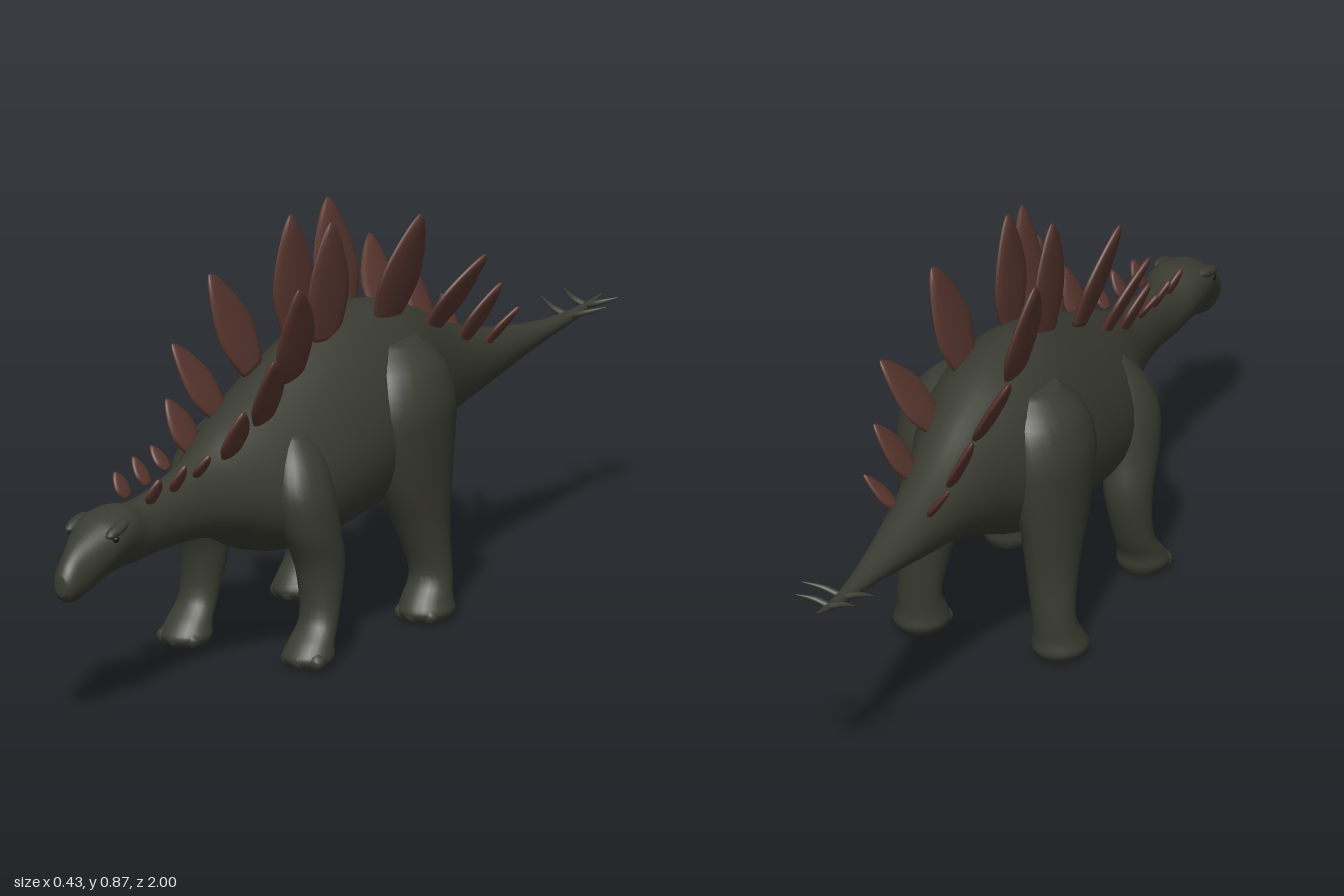
import * as THREE from 'three';

const hide = new THREE.MeshStandardMaterial({ name: 'dark olive hide', color: 0x3a3b31 });
const plateMat = new THREE.MeshStandardMaterial({ name: 'red brown plate', color: 0x56352d });
const eyeMat = new THREE.MeshStandardMaterial({ name: 'dark eye', color: 0x15150f });

// Smoothly subdivide a table of cross-sections (Catmull-Rom on every column)
function smoothRows(rows, sub) {
  const out = [];
  const at = (i) => rows[Math.max(0, Math.min(rows.length - 1, i))];
  for (let i = 0; i < rows.length - 1; i++) {
    for (let s = 0; s < sub; s++) {
      const t = s / sub;
      out.push(rows[i].map((b, c) => {
        const a = at(i - 1)[c], d = at(i + 1)[c], e = at(i + 2)[c];
        return b + 0.5 * t * (d - a + t * (2 * a - 5 * b + 4 * d - e + t * (3 * (b - d) + e - a)));
      }));
    }
  }
  out.push(rows[rows.length - 1]);
  return out;
}

// Skin closed rings made by point(row, angle), with a centre vertex closing each end
function loft(rows, sides, sub, point) {
  const rings = smoothRows(rows, sub);
  const pos = [], index = [];
  for (const row of rings) {
    for (let j = 0; j < sides; j++) pos.push(...point(row, (j / sides) * Math.PI * 2));
  }
  for (let i = 0; i < rings.length - 1; i++) {
    for (let j = 0; j < sides; j++) {
      const a = i * sides + j, b = i * sides + (j + 1) % sides;
      index.push(a, b, a + sides, b, b + sides, a + sides);
    }
  }
  for (const end of [0, rings.length - 1]) {
    const p = point(rings[end], 0), q = point(rings[end], Math.PI);
    const c = pos.length / 3;
    pos.push(...p.map((v, k) => (v + q[k]) / 2));
    for (let j = 0; j < sides; j++) {
      const a = end * sides + j, b = end * sides + (j + 1) % sides;
      if (end === 0) index.push(c, b, a);
      else index.push(c, a, b);
    }
  }
  const geo = new THREE.BufferGeometry();
  geo.setAttribute('position', new THREE.Float32BufferAttribute(pos, 3));
  geo.setIndex(index);
  geo.computeVertexNormals();
  return geo;
}

// Ring across z: row = [z, top, bottom, halfWidth, bottomHeaviness]
const bodyRing = ([z, top, bot, w, k], t) => [
  w * Math.sin(t) * (1 - k * Math.cos(t)),
  (top + bot) / 2 + ((top - bot) / 2) * Math.cos(t),
  z,
];
// Ring across y: row = [y, centreX, centreZ, radiusX, radiusZ]
const limbRing = ([y, cx, cz, rx, rz], t) => [cx + rx * Math.sin(t), y, cz + rz * Math.cos(t)];

function add(parent, name, geo, mat) {
  const mesh = new THREE.Mesh(geo, mat);
  mesh.name = name;
  parent.add(mesh);
  return mesh;
}

// Head, neck, torso and tail, snout to tail tip
const BODY = [
  [1.0, 0.325, 0.285, 0.014, 0], [0.985, 0.35, 0.27, 0.026, 0], [0.95, 0.38, 0.265, 0.035, -0.1],
  [0.9, 0.41, 0.28, 0.049, -0.25], [0.86, 0.427, 0.293, 0.06, -0.3], [0.8, 0.435, 0.3, 0.06, -0.2],
  [0.74, 0.425, 0.3, 0.05, 0], [0.66, 0.432, 0.302, 0.047, 0], [0.58, 0.448, 0.3, 0.054, 0.05],
  [0.5, 0.47, 0.293, 0.07, 0.1], [0.42, 0.507, 0.27, 0.1, 0.15], [0.34, 0.54, 0.232, 0.135, 0.18],
  [0.24, 0.58, 0.21, 0.16, 0.2], [0.13, 0.625, 0.212, 0.167, 0.2], [0.02, 0.657, 0.222, 0.167, 0.18],
  [-0.09, 0.66, 0.235, 0.16, 0.12], [-0.19, 0.643, 0.275, 0.14, 0.08], [-0.29, 0.602, 0.315, 0.106, 0.05],
  [-0.4, 0.547, 0.348, 0.078, 0.02], [-0.5, 0.51, 0.366, 0.061, 0], [-0.6, 0.484, 0.385, 0.048, 0],
  [-0.7, 0.466, 0.403, 0.034, 0], [-0.8, 0.455, 0.417, 0.021, 0], [-0.9, 0.453, 0.43, 0.012, 0],
  [-0.96, 0.458, 0.445, 0.007, 0], [-1.0, 0.462, 0.459, 0.002, 0],
];

const HIND = [
  [0.004, 0.155, -0.12, 0.046, 0.052], [0.022, 0.155, -0.12, 0.058, 0.064], [0.05, 0.153, -0.126, 0.052, 0.056],
  [0.1, 0.15, -0.142, 0.046, 0.044], [0.2, 0.14, -0.125, 0.053, 0.068], [0.3, 0.135, -0.105, 0.063, 0.105],
  [0.4, 0.125, -0.095, 0.08, 0.132], [0.47, 0.118, -0.095, 0.087, 0.135], [0.54, 0.1, -0.1, 0.083, 0.112],
  [0.59, 0.08, -0.1, 0.055, 0.06],
];

const FORE = [
  [0.004, 0.15, 0.31, 0.044, 0.044], [0.022, 0.15, 0.31, 0.055, 0.053], [0.05, 0.15, 0.298, 0.049, 0.045],
  [0.1, 0.148, 0.266, 0.043, 0.037], [0.2, 0.142, 0.255, 0.05, 0.056], [0.28, 0.138, 0.28, 0.055, 0.071],
  [0.36, 0.13, 0.295, 0.056, 0.076], [0.43, 0.113, 0.29, 0.047, 0.06], [0.48, 0.098, 0.28, 0.02, 0.03],
];

// Plate pairs: base x, y, z, tip x, y, z, width
const PLATES = [
  [0.03, 0.425, 0.71, 0.055, 0.476, 0.72, 0.05], [0.033, 0.432, 0.63, 0.065, 0.488, 0.637, 0.045],
  [0.037, 0.445, 0.55, 0.072, 0.492, 0.56, 0.045], [0.045, 0.46, 0.44, 0.095, 0.566, 0.468, 0.088],
  [0.055, 0.51, 0.33, 0.125, 0.662, 0.4, 0.1], [0.05, 0.58, 0.215, 0.11, 0.786, 0.285, 0.128],
  [0.038, 0.625, 0.075, 0.05, 0.872, 0.075, 0.15], [0.055, 0.62, -0.12, 0.115, 0.845, -0.16, 0.155],
  [0.052, 0.56, -0.285, 0.143, 0.717, -0.358, 0.115], [0.045, 0.505, -0.415, 0.11, 0.627, -0.465, 0.08],
  [0.038, 0.475, -0.515, 0.095, 0.553, -0.55, 0.045],
];

// Leaf outline of a plate: height, width and thickness fractions
const LEAF = [[0, 0.6, 0.9], [0.15, 0.82, 1], [0.35, 1, 1], [0.55, 0.9, 0.9], [0.75, 0.63, 0.8], [0.92, 0.3, 0.65], [1, 0.06, 0.2]];

function plate(base, tip, width) {
  const dir = tip.clone().sub(base);
  const len = dir.length();
  const thick = 0.006 + 0.045 * width;
  const rows = LEAF.map(([h, w, t]) => [h * len, 0, 0, t * thick, (w * width) / 2]);
  const geo = loft(rows, 16, 3, limbRing);
  const yAxis = dir.normalize();
  const xAxis = new THREE.Vector3().crossVectors(yAxis, new THREE.Vector3(0, 0, 1)).normalize();
  const zAxis = new THREE.Vector3().crossVectors(xAxis, yAxis);
  return geo.applyMatrix4(new THREE.Matrix4().makeBasis(xAxis, yAxis, zAxis).setPosition(base));
}

export function createModel() {
  const model = new THREE.Group();
  model.name = 'platedDinosaur';
  add(model, 'body', loft(BODY, 32, 4, bodyRing), hide);

  for (const s of [1, -1]) {
    const side = s > 0 ? 'left' : 'right';

    // Legs with toes
    for (const [name, rows, toeZ] of [['HindLeg', HIND, -0.075], ['ForeLeg', FORE, 0.345]]) {
      const leg = new THREE.Group();
      leg.name = side + name;
      model.add(leg);
      add(leg, 'leg', loft(rows.map(([y, x, ...r]) => [y, s * x, ...r]), 24, 4, limbRing), hide);
      for (const k of [-1, 0, 1]) {
        const toe = add(leg, 'toe', new THREE.SphereGeometry(0.019, 12, 8), hide);
        toe.position.set(s * 0.153 + k * 0.033, 0.018, toeZ - Math.abs(k) * 0.012);
        toe.scale.y = 0.95;
      }
    }

    // Back plates
    PLATES.forEach(([bx, by, bz, tx, ty, tz, w], i) => {
      const geo = plate(new THREE.Vector3(s * bx, by, bz), new THREE.Vector3(s * tx, ty, tz), w);
      add(model, side + 'Plate' + (i + 1), geo, plateMat);
    });

    // Curved tail spikes
    for (const [z, y, len] of [[-0.875, 0.442, 0.085], [-0.94, 0.45, 0.07]]) {
      const rows = [[0, 0, 0, 0.008, 0.009], [len * 0.5, 0, -0.002, 0.006, 0.007], [len, 0, -0.02, 0.001, 0.001]];
      const spike = add(model, side + 'TailSpike', loft(rows, 10, 4, limbRing), hide);
      spike.position.set(0, y, z);
      spike.rotation.z = -s * 1.25;
    }

    // Brow ridge and eye
    const brow = add(model, side + 'Brow', new THREE.SphereGeometry(1, 16, 10), hide);
    brow.scale.set(0.014, 0.012, 0.04);
    brow.position.set(s * 0.05, 0.404, 0.865);
    brow.rotation.x = 0.25;
    const eye = add(model, side + 'Eye', new THREE.SphereGeometry(0.008, 12, 8), eyeMat);
    eye.position.set(s * 0.054, 0.387, 0.878);
  }
  return model;
}
